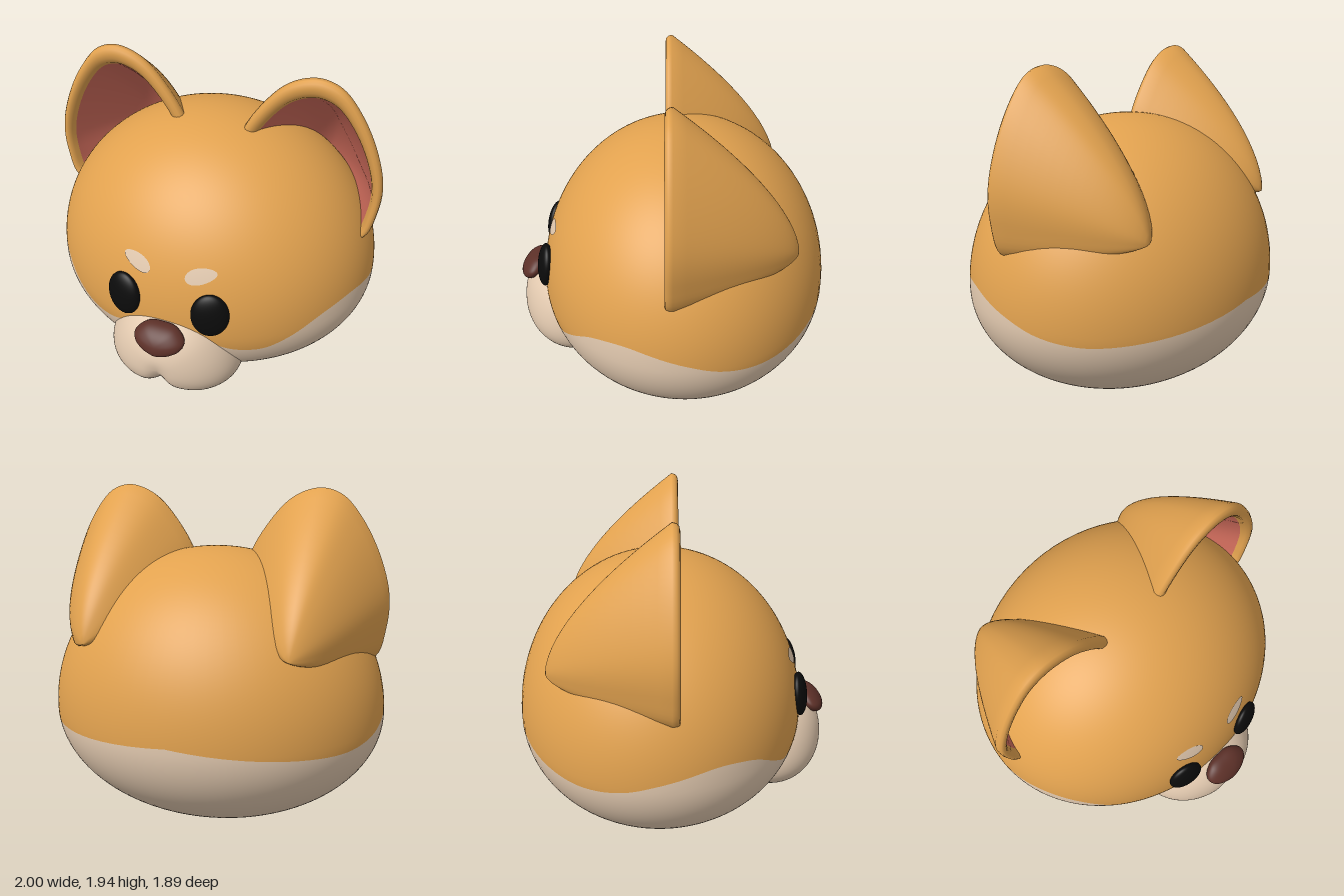
import * as THREE from 'three';
import { mergeVertices } from 'three/addons/utils/BufferGeometryUtils.js';

const paint = (name, color) => {
  const m = new THREE.MeshStandardMaterial({ color });
  m.name = name;
  return m;
};

// Smooth surface from a rule fn(u, v) -> [x, y, z]; du x dv points outwards
function surface(fn, nu, nv) {
  const g = new THREE.PlaneGeometry(1, 1, nu, nv);
  const p = g.attributes.position;
  for (let i = 0; i < p.count; i++) p.setXYZ(i, ...fn(p.getX(i) + 0.5, p.getY(i) + 0.5));
  g.deleteAttribute('uv');
  g.deleteAttribute('normal');
  const merged = mergeVertices(g, 1e-5);
  merged.computeVertexNormals();
  return merged;
}

// Head: an ellipsoid with a taller upper half
const CY = 0.65, CZ = -0.08, RZ = 0.86;
const radiusY = y => (y > CY ? 0.95 : 0.65);
const headZ = (x, y) => CZ + RZ * Math.sqrt(1 - x * x - ((y - CY) / radiusY(y)) ** 2);

// Fur colour border: angle from the front in degrees, height
const border = new THREE.SplineCurve([
  [0, 0.68], [12, 0.63], [21, 0.565], [28, 0.548], [34, 0.56], [42, 0.625], [52, 0.71], [60, 0.745],
  [68, 0.757], [76, 0.742], [90, 0.69], [102, 0.637], [114, 0.607], [126, 0.602], [150, 0.63], [180, 0.677],
].map(p => new THREE.Vector2(...p)));

function headPart(upper) {
  const g = surface((u, v) => {
    const b = border.getPoint(Math.abs(2 * u - 1));
    const a = THREE.MathUtils.degToRad(b.x) * Math.sign(u - 0.5);
    const latB = Math.asin((b.y - CY) / radiusY(b.y));
    const lat = upper ? latB + (Math.PI / 2 - latB) * v : -Math.PI / 2 + (latB + Math.PI / 2) * v;
    const y = CY + (lat > 0 ? 0.95 : 0.65) * Math.sin(lat);
    return [Math.sin(a) * Math.cos(lat), y, CZ + RZ * Math.cos(a) * Math.cos(lat)];
  }, 192, 40);
  // Exact normals keep the colour border free of a crease
  const p = g.attributes.position, n = new THREE.Vector3();
  for (let i = 0; i < p.count; i++) {
    const y = p.getY(i);
    n.set(p.getX(i), (y - CY) / radiusY(y) ** 2, (p.getZ(i) - CZ) / RZ ** 2).normalize();
    g.attributes.normal.setXYZ(i, n.x, n.y, n.z);
  }
  return g;
}

const closedCurve = pts => new THREE.CatmullRomCurve3(pts.map(([x, y]) => new THREE.Vector3(x, y, 0)), true);

// Rounded pod with a symmetric front outline (right half given, bottom to top)
function pod(half, cy, z0, depth, shift) {
  const mirrored = half.slice(1, -1).reverse().map(([x, y]) => [-x, y]);
  const curve = closedCurve([...half, ...mirrored]);
  return surface((u, v) => {
    const o = curve.getPoint(u % 1), p = (1 - v) * 2.4;
    const x = o.x * Math.sin(p), y = cy + (o.y - cy) * Math.sin(p);
    return [x, y, z0 + depth * Math.cos(p) + shift(x, y)];
  }, 96, 36);
}

// Ear: a dome behind a front outline, rolled over a rim into a hollow
const earOutline = closedCurve([
  [0.93, 1.0], [0.98, 1.17], [0.987, 1.35], [0.935, 1.55], [0.83, 1.76], [0.71, 1.9], [0.6, 1.94], [0.5, 1.925],
  [0.4, 1.87], [0.29, 1.75], [0.18, 1.57], [0.135, 1.4], [0.22, 1.17], [0.5, 1.02], [0.8, 0.965],
]);
const DOME = 16, HOLLOW = 14;
const earProfile = [];
for (let i = 0; i <= DOME; i++) earProfile.push([i / DOME, -0.68 * (1 - (i / DOME) ** 1.6) - 0.01]);
earProfile.push([0.993, 0.012], [0.975, 0.026], [0.945, 0.031], [0.91, 0.028], [0.875, 0.012]);
for (let i = HOLLOW; i >= 0; i--) earProfile.push([0.85 * i / HOLLOW, -0.02 - 0.5 * (1 - (i / HOLLOW) ** 1.6)]);

function ear(side) {
  const n = earProfile.length - 1, nu = 80;
  const g = surface((u, v) => {
    const o = earOutline.getPoint((side > 0 ? u : 1 - u) % 1);
    const [s, z] = earProfile[Math.round(v * n)];
    return [side * (0.575 + (o.x - 0.575) * s), 1.12 + (o.y - 1.12) * s, z];
  }, nu, n);
  const split = HOLLOW * nu * 6;
  g.addGroup(0, split, 1);
  g.addGroup(split, g.index.count - split, 0);
  return g;
}

// Brow patch lying on the head
function brow(side) {
  const g = new THREE.RingGeometry(0, 1, 40, 5);
  const p = g.attributes.position;
  for (let i = 0; i < p.count; i++) {
    const out = side * p.getX(i);
    const x = side * (0.187 + 0.085 * out);
    const y = 1.038 + 0.045 * p.getY(i) * (1 - 0.2 * out) + 0.018 * out;
    p.setXYZ(i, x, y, headZ(x, y) + 0.006);
  }
  g.computeVertexNormals();
  return g;
}

export function createModel() {
  const group = new THREE.Group();
  group.name = 'dogHead';
  const orange = paint('orangeFur', 0xe2a24f);
  const cream = paint('creamFur', 0xe2c9af);
  const pink = paint('innerEarPink', 0xd06c5c);
  const brown = paint('noseBrown', 0x5c3028);
  const black = paint('black', 0x0b0b0b);

  const add = (name, geometry, material) => {
    const m = new THREE.Mesh(geometry, material);
    m.name = name;
    group.add(m);
    return m;
  };
  const ball = (name, material, pos, size) => {
    const m = add(name, new THREE.SphereGeometry(1, 40, 28), material);
    m.position.set(...pos);
    m.scale.set(...size);
    return m;
  };

  add('headTop', headPart(true), orange);
  add('headBottom', headPart(false), cream);

  // Muzzle with a soft crease below the nose
  add('muzzle', pod([
    [0, 0.225], [0.08, 0.195], [0.2, 0.183], [0.31, 0.215], [0.385, 0.3],
    [0.402, 0.4], [0.365, 0.54], [0.275, 0.67], [0.15, 0.745], [0, 0.77],
  ], 0.45, 0.6, 0.335, (x, y) =>
    -0.035 * Math.exp(-((x / 0.055) ** 2)) * THREE.MathUtils.smoothstep(0.55 - y, 0, 0.2)), cream);
  ball('chin', cream, [0, 0.25, 0.52], [0.165, 0.106, 0.15]);
  ball('mouth', black, [0, 0.212, 0.665], [0.03, 0.016, 0.02]);

  // Nose leaning back at the top
  add('nose', pod([
    [0, 0.578], [0.04, 0.585], [0.09, 0.602], [0.138, 0.638], [0.146, 0.675], [0.09, 0.727], [0, 0.738],
  ], 0.66, 0.86, 0.075, (x, y) => -0.5 * (y - 0.66)), brown);
  ball('nostrils', black, [0, 0.593, 0.9], [0.06, 0.02, 0.028]);

  for (const side of [1, -1]) {
    const label = side > 0 ? 'left' : 'right';
    add(label + 'Ear', ear(side), [orange, pink]);
    add(label + 'Brow', brow(side), cream);
    const eye = ball(label + 'Eye', black, [side * 0.257, 0.82, 0.745], [0.107, 0.135, 0.045]);
    eye.rotation.set(-0.15, side * 0.24, 0);
  }
  return group;
}
